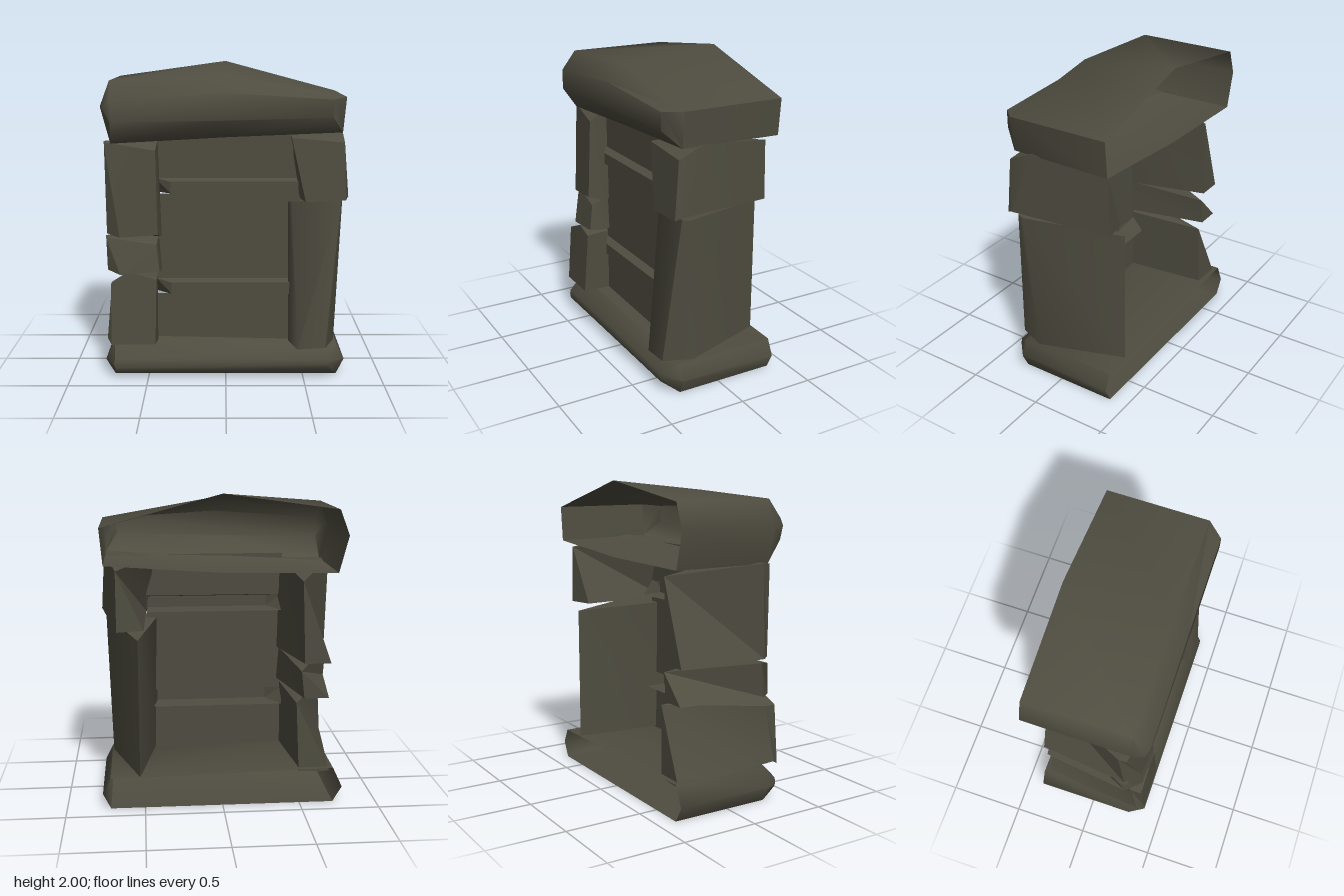
import * as THREE from 'three';
import { toCreasedNormals } from 'three/addons/utils/BufferGeometryUtils.js';

const stone = new THREE.MeshStandardMaterial({ color: 0x4f4d40, side: THREE.DoubleSide });
stone.name = 'mossy grey stone';

// Shell through cross-section rings from back to front; the back is open, the front capped.
function shell(name, rings, crease) {
  const pos = [];
  const v = (p) => new THREE.Vector3(...p);
  const tri = (a, b, c) => {
    const area = v(b).sub(v(a)).cross(v(c).sub(v(a))).length();
    if (area > 1e-7) pos.push(...a, ...b, ...c);
  };
  for (let r = 0; r < rings.length - 1; r++) {
    const back = rings[r], front = rings[r + 1], n = back.length;
    for (let i = 0; i < n; i++) {
      const k = (i + 1) % n;
      tri(back[i], back[k], front[k]);
      tri(back[i], front[k], front[i]);
    }
  }
  const cap = rings[rings.length - 1];
  for (let i = 1; i < cap.length - 1; i++) tri(cap[0], cap[i], cap[i + 1]);
  const geo = new THREE.BufferGeometry();
  geo.setAttribute('position', new THREE.Float32BufferAttribute(pos, 3));
  const mesh = new THREE.Mesh(toCreasedNormals(geo, crease), stone);
  mesh.name = name;
  return mesh;
}

const atZ = (z, points) => points.map(([x, y]) => [x, y, z]);

// Corner stone: corners run bottom left, bottom right, top right, (peak), top left.
// The back narrows to a closed triangle: two bottom corners and one top corner.
function cornerStone(name, [bottomLeft, bottomRight, top], middle, front, crease = 0.5) {
  const back = middle.map((_, i) => [bottomLeft, bottomRight][i] ?? top);
  return shell(name, [back.map(() => top), back, middle, front], crease);
}

export function createModel() {
  const model = new THREE.Group();
  model.name = 'stoneDoorway';

  // Base slab with pointed ends and a bevelled front
  const base = [[-0.72, 0], [0.72, 0], [0.77, 0.1], [0.72, 0.2], [-0.72, 0.23], [-0.78, 0.1]];
  const baseFront = [[-0.71, 0.07], [0.65, 0.07], [0.66, 0.1], [0.65, 0.13], [-0.71, 0.13], [-0.72, 0.1]];
  model.add(shell('baseSlab', [atZ(-0.38, base), atZ(0.28, base), atZ(0.38, baseFront)], 1.0));

  // Peaked lintel
  model.add(shell('lintel', [
    atZ(-0.38, [[-0.72, 1.51], [0, 1.52], [0.73, 1.57], [0.75, 1.8], [0, 2], [-0.72, 1.9], [-0.78, 1.74]]),
    atZ(0.28, [[-0.72, 1.51], [0, 1.55], [0.73, 1.58], [0.75, 1.8], [0, 1.93], [-0.72, 1.9], [-0.78, 1.74]]),
    [...atZ(0.38, [[-0.71, 1.65], [0, 1.66], [0.66, 1.68], [0.66, 1.79], [0, 1.83], [-0.71, 1.78]]), [-0.76, 1.74, 0.36]],
  ], 1.08));

  // Stones on the right-hand side
  model.add(cornerStone('upperRightStone',
    [[-0.7, 0.92, -0.33], [-0.53, 0.92, -0.33], [-0.51, 1.45, -0.33]],
    [[-0.76, 0.93, 0.24], [-0.41, 0.91, 0.24], [-0.43, 1.53, 0.22], [-0.77, 1.52, 0.21]],
    [[-0.67, 0.92, 0.33], [-0.43, 0.94, 0.34], [-0.44, 1.47, 0.31], [-0.765, 1.515, 0.26]]));
  model.add(cornerStone('middleRightStone',
    [[-0.69, 0.69, -0.33], [-0.53, 0.69, -0.33], [-0.51, 0.87, -0.33]],
    [[-0.76, 0.69, 0.24], [-0.41, 0.69, 0.24], [-0.43, 0.91, 0.22], [-0.77, 0.91, 0.21]],
    [[-0.67, 0.68, 0.34], [-0.42, 0.7, 0.34], [-0.44, 0.87, 0.31], [-0.765, 0.905, 0.26]]));
  model.add(cornerStone('lowerRightStone',
    [[-0.7, 0.2, -0.35], [-0.5, 0.2, -0.34], [-0.48, 0.66, -0.33]],
    [[-0.76, 0.26, 0.33], [-0.44, 0.23, 0.26], [-0.44, 0.66, 0.24], [-0.57, 0.69, 0.26], [-0.73, 0.62, 0.28]],
    [[-0.73, 0.23, 0.38], [-0.45, 0.23, 0.38], [-0.44, 0.65, 0.35], [-0.57, 0.69, 0.35], [-0.73, 0.62, 0.35]]));

  // Stone and tall pillar on the left-hand side
  model.add(cornerStone('upperLeftStone',
    [[0.49, 1.15, -0.31], [0.66, 1.15, -0.35], [0.66, 1.53, -0.34]],
    [[0.47, 1.16, 0.27], [0.77, 1.18, 0.3], [0.74, 1.59, 0.15], [0.41, 1.56, 0.15]],
    [[0.5, 1.15, 0.34], [0.75, 1.16, 0.34], [0.74, 1.52, 0.31], [0.41, 1.55, 0.31]]));
  model.add(cornerStone('leftPillar',
    [[0.53, 0.2, -0.37], [0.53, 0.2, -0.37], [0.53, 1.1, -0.37]],
    [[0.405, 0.22, 0.26], [0.71, 0.2, 0.18], [0.74, 1.14, 0.24], [0.4, 1.13, 0.2]],
    [[0.46, 0.19, 0.36], [0.64, 0.2, 0.36], [0.73, 1.15, 0.28], [0.42, 1.14, 0.26]], 1.2));

  // Door panels between the two hollow crossbars
  const panelZ = 0.19;
  for (const [low, high] of [[0.19, 0.52], [0.62, 1.18], [1.28, 1.56]]) {
    const panel = new THREE.Mesh(new THREE.PlaneGeometry(0.92, high - low), stone);
    panel.position.set(0.01, (low + high) / 2, panelZ);
    panel.name = 'doorPanel';
    model.add(panel);
  }
  // Each bar has a chamfered end and a floor that reaches behind the door
  for (const y of [0.52, 1.18]) {
    model.add(shell('crossbar', [
      [[-0.45, y, 0.12], [0.47, y, 0.12], [0.47, y + 0.1, panelZ], [-0.45, y + 0.1, panelZ]],
      atZ(0.25, [[-0.35, y + 0.01], [0.46, y + 0.01], [0.46, y + 0.085], [-0.35, y + 0.085]]),
    ], 0.4));
  }
  return model;
}
